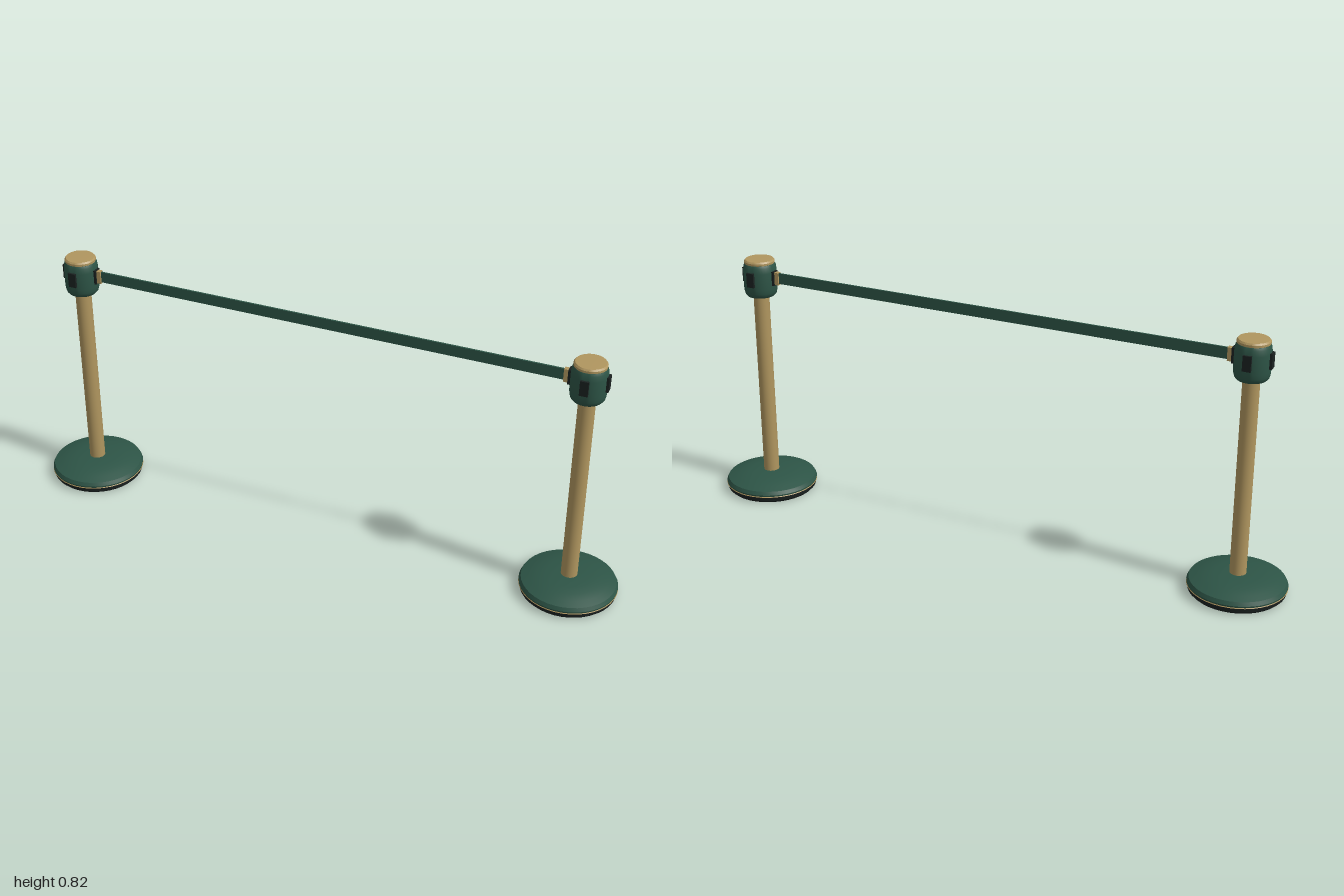
import * as THREE from 'three';
import { toCreasedNormals } from 'three/addons/utils/BufferGeometryUtils.js';

const mat = (name, color) => {
  const m = new THREE.MeshStandardMaterial({ color });
  m.name = name;
  return m;
};

export function createModel() {
  const green = mat('dark green', 0x2d5446);
  const gold = mat('brass', 0xb0965f);
  const black = mat('near black', 0x1a2120);

  const add = (parent, name, geometry, material, x = 0, y = 0, z = 0) => {
    const m = new THREE.Mesh(geometry, material);
    m.name = name;
    m.position.set(x, y, z);
    parent.add(m);
    return m;
  };
  // Turned part from [radius, height] pairs, bottom to top
  const turned = (points, sides = 40) => toCreasedNormals(
    new THREE.LatheGeometry(points.map(([r, y]) => new THREE.Vector2(r, y)), sides), 0.6);

  const baseFoot = turned([[0, 0], [0.143, 0], [0.151, 0.008], [0.153, 0.021]]);
  const baseRing = turned([[0.153, 0.021], [0.1555, 0.0225], [0.154, 0.025]]);
  const baseDome = turned([[0.154, 0.025], [0.155, 0.03], [0.149, 0.042], [0.125, 0.05],
    [0.1, 0.057], [0.07, 0.061], [0.04, 0.063], [0, 0.064]]);
  const pole = new THREE.CylinderGeometry(0.026, 0.026, 0.66, 32, 1, true);
  const head = turned([[0, 0.7], [0.045, 0.7], [0.051, 0.707], [0.0535, 0.716],
    [0.055, 0.73], [0.055, 0.785], [0.053, 0.803], [0.049, 0.811], [0, 0.811]]);
  const cap = turned([[0.045, 0.81], [0.05, 0.812], [0.05, 0.819], [0.046, 0.824], [0, 0.825]]);
  const slot = new THREE.BoxGeometry(0.026, 0.048, 0.012);
  const clip = new THREE.BoxGeometry(0.016, 0.042, 0.016);

  const model = new THREE.Group();
  model.name = 'beltBarrier';
  for (const side of [-1, 1]) {
    const post = new THREE.Group();
    post.name = side > 0 ? 'leftPost' : 'rightPost';
    post.position.x = side * 0.845;
    model.add(post);
    add(post, 'baseFoot', baseFoot, black);
    add(post, 'baseRing', baseRing, gold);
    add(post, 'baseDome', baseDome, green);
    add(post, 'pole', pole, gold, 0, 0.385);
    add(post, 'head', head, green);
    add(post, 'cap', cap, gold);
    // Four belt sockets around the head
    for (let i = 0; i < 4; i++) {
      const a = i * Math.PI / 2;
      add(post, 'socket', slot, black, Math.sin(a) * 0.055, 0.765, Math.cos(a) * 0.055).rotation.y = a;
    }
    // Belt end clip on the inner side
    add(post, 'beltClip', clip, gold, -side * 0.067, 0.765);
  }
  // Belt stretched between the posts
  add(model, 'belt', new THREE.BoxGeometry(1.545, 0.036, 0.006), green, 0, 0.766);
  return model;
}
